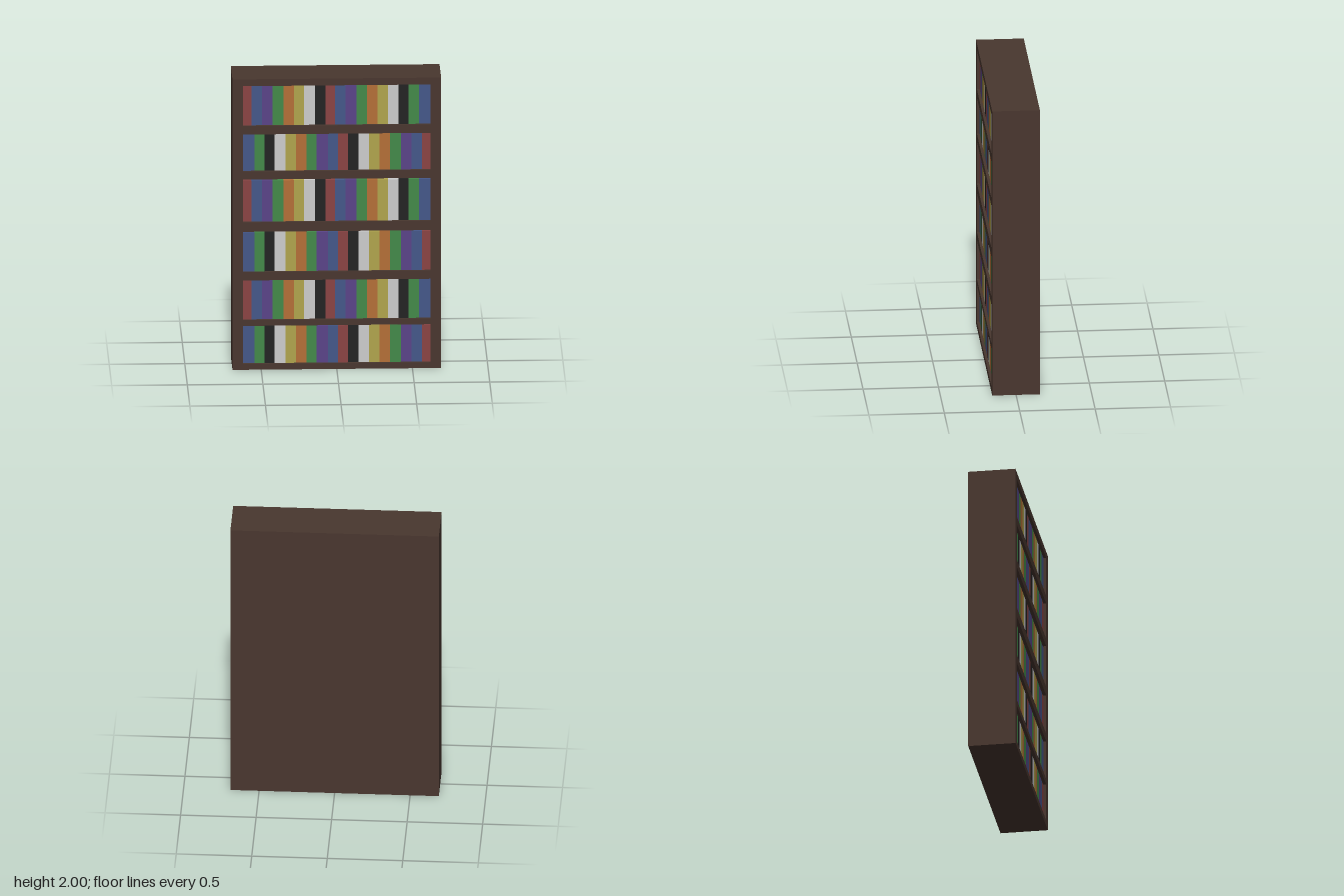
import * as THREE from 'three';

const HALF_W = 0.69, INNER = 0.62, BACK = -0.158, FRONT = 0.158;
const BOOK_FRONT = 0.14, PANEL = 0.03;

const palette = {
  wood: 0x49372f, red: 0x8b4444, blue: 0x45588a, purple: 0x5a4488, green: 0x438a4a,
  orange: 0xb46f38, yellow: 0xb0a54d, white: 0xcdcdcd, black: 0x232323,
};

// Book colours and their left edges along one row; alternate rows are turned round
const order = ['red', 'blue', 'purple', 'green', 'orange', 'yellow', 'white', 'black', 'red',
  'blue', 'purple', 'green', 'orange', 'yellow', 'white', 'black', 'green', 'blue'];
const turned = ['blue', 'green', 'black', 'white', 'yellow', 'orange', 'green', 'purple', 'blue',
  'red', 'black', 'white', 'yellow', 'orange', 'green', 'purple', 'blue', 'red'];
const edges = [-INNER, -0.565, -0.495, -0.424, -0.353, -0.284, -0.215, -0.143, -0.074, -0.01,
  0.058, 0.132, 0.201, 0.27, 0.339, 0.41, 0.476, 0.545, INNER];

// Bottom and top of each board, and book top heights from the lowest row up
const boards = [[0, 0.04], [0.302, 0.342], [0.615, 0.672], [0.95, 1.015],
  [1.31, 1.365], [1.62, 1.678], [1.953, 2]];
const bookTops = [0.295, 0.612, 0.94, 1.297, 1.62, 1.953];

export function createModel() {
  const model = new THREE.Group();
  model.name = 'bookcase';
  const mats = {};
  for (const [name, color] of Object.entries(palette)) {
    mats[name] = new THREE.MeshStandardMaterial({ color });
    mats[name].name = name;
  }

  // Box given by its limits on each axis
  function block(parent, name, mat, [x0, x1], [y0, y1], [z0, z1]) {
    const mesh = new THREE.Mesh(new THREE.BoxGeometry(x1 - x0, y1 - y0, z1 - z0), mats[mat]);
    mesh.position.set((x0 + x1) / 2, (y0 + y1) / 2, (z0 + z1) / 2);
    mesh.name = name;
    parent.add(mesh);
  }

  // Case: back, sides and boards
  const depth = [BACK + PANEL, FRONT];
  block(model, 'backPanel', 'wood', [-HALF_W, HALF_W], [0, 2], [BACK, BACK + PANEL]);
  block(model, 'leftSide', 'wood', [INNER, HALF_W], [0, 2], depth);
  block(model, 'rightSide', 'wood', [-HALF_W, -INNER], [0, 2], depth);
  boards.forEach((span, i) => {
    const name = i === 0 ? 'base' : i === boards.length - 1 ? 'topBoard' : 'shelf';
    block(model, name, 'wood', [-INNER, INNER], span, depth);
  });

  // Books, set slightly back from the front of the case
  bookTops.forEach((top, row) => {
    const group = new THREE.Group();
    group.name = 'bookRow';
    const colours = row % 2 ? order : turned;
    colours.forEach((colour, i) => {
      const span = row % 2 ? [edges[i], edges[i + 1]] : [-edges[18 - i], -edges[17 - i]];
      block(group, 'book', colour, span, [boards[row][1], top], [BACK + PANEL, BOOK_FRONT]);
    });
    model.add(group);
  });
  return model;
}
